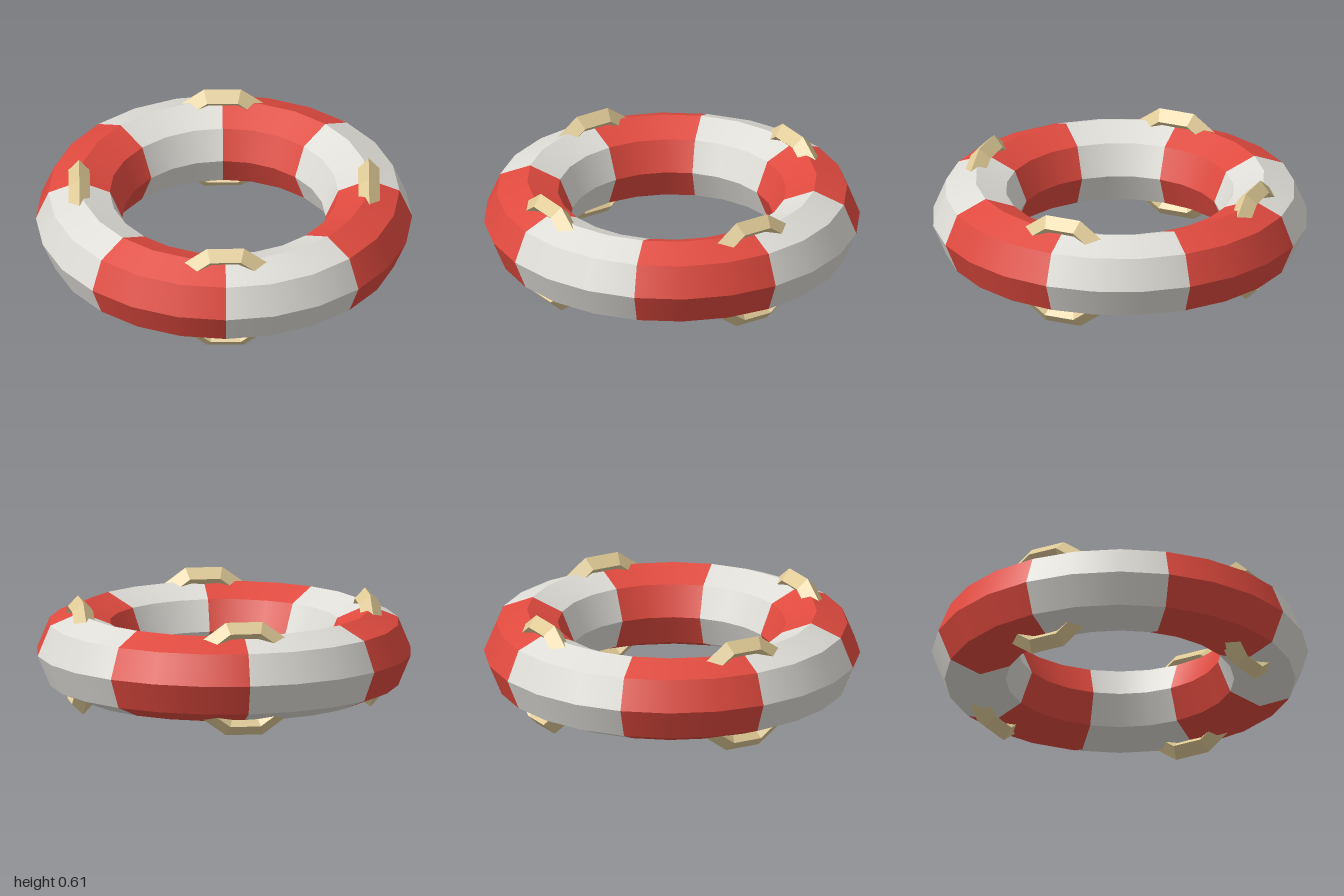
import * as THREE from 'three';
import { mergeGeometries } from 'three/addons/utils/BufferGeometryUtils.js';

const RING_R = 0.77, TUBE_R = 0.23, MID_Y = 0.305;

const mat = (name, color) => {
  const m = new THREE.MeshStandardMaterial({ color });
  m.name = name;
  return m;
};

// One eighth of the ring: octagonal section, smooth around, sharp between bands
function sectorGeometry(start) {
  const point = (i) => {
    const a = (i * Math.PI) / 4;
    return new THREE.Vector2(RING_R + TUBE_R * Math.cos(a), TUBE_R * Math.sin(a));
  };
  const bands = [];
  for (let i = 0; i < 8; i++) {
    bands.push(new THREE.LatheGeometry([point(i), point(i + 1)], 3, start, Math.PI / 4));
  }
  return mergeGeometries(bands);
}

export function createModel() {
  const model = new THREE.Group();
  model.name = 'lifeRing';
  const red = mat('red', 0xe04a3f);
  const white = mat('white', 0xdfddd7);
  const rope = mat('rope', 0xdfca96);
  rope.flatShading = true;

  // Alternating red and white sectors
  for (let k = 0; k < 8; k++) {
    const sector = new THREE.Mesh(sectorGeometry((k * Math.PI) / 4), k % 2 ? white : red);
    sector.name = k % 2 ? 'whiteSector' : 'redSector';
    sector.position.y = MID_Y;
    model.add(sector);
  }

  // Four rope loops, each showing above and below the ring
  const loop = new THREE.TorusGeometry(0.263, 0.057, 4, 10);
  for (let k = 0; k < 4; k++) {
    const a = Math.PI / 4 + (k * Math.PI) / 2;
    const mesh = new THREE.Mesh(loop, rope);
    mesh.name = 'ropeLoop';
    mesh.position.set(RING_R * Math.sin(a), MID_Y, RING_R * Math.cos(a));
    mesh.rotation.y = a;
    model.add(mesh);
  }
  return model;
}
